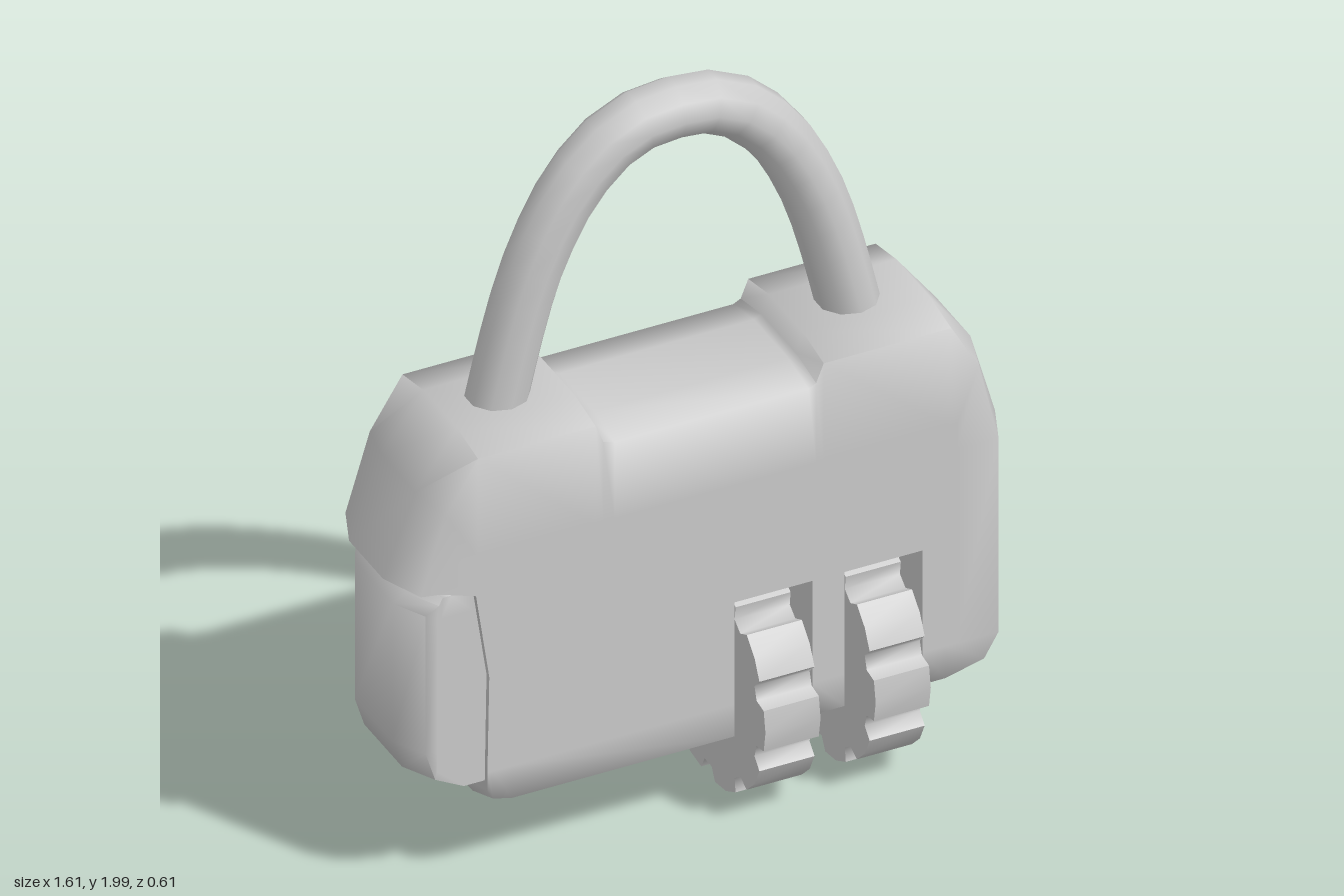
import * as THREE from 'three';
import { toCreasedNormals } from 'three/addons/utils/BufferGeometryUtils.js';

const material = new THREE.MeshStandardMaterial({ color: 0xcccccc });
const clamp01 = (v) => THREE.MathUtils.clamp(v, 0, 1);
const clamp = THREE.MathUtils.clamp;

function addMesh(parent, name, geometry) {
  const mesh = new THREE.Mesh(geometry, material);
  mesh.name = name;
  parent.add(mesh);
  return mesh;
}

// Join rings of equal point count (counter-clockwise, front to back) and cap both ends
function loft(rings, crease) {
  const n = rings[0].points.length;
  const positions = [];
  const index = [];
  for (const { points, z } of rings) for (const [x, y] of points) positions.push(x, y, z);
  for (let r = 0; r < rings.length - 1; r++) {
    for (let i = 0; i < n; i++) {
      const j = (i + 1) % n;
      const a = r * n + i, b = r * n + j, c = a + n, d = b + n;
      index.push(a, c, d, a, d, b);
    }
  }
  const contour = rings[0].points.map(([x, y]) => new THREE.Vector2(x, y));
  const last = (rings.length - 1) * n;
  for (const [a, b, c] of THREE.ShapeUtils.triangulateShape(contour, [])) {
    index.push(a, b, c, last + a, last + c, last + b);
  }
  const geometry = new THREE.BufferGeometry();
  geometry.setAttribute('position', new THREE.Float32BufferAttribute(positions, 3));
  geometry.setIndex(index);
  return toCreasedNormals(geometry, crease);
}

// Symmetric block: full outline in the middle, eased edge, then the flat face
function easedBlock(outline, edge, face, zMiddle, zFace, crease) {
  const middle = outline, rim = outline.map(edge), flat = outline.map(face);
  return loft([
    { points: flat, z: zFace }, { points: rim, z: zFace }, { points: middle, z: zMiddle },
    { points: middle, z: -zMiddle }, { points: rim, z: -zFace }, { points: flat, z: -zFace },
  ], crease);
}

const wheelSlots = [[0.065, 0.27], [0.355, 0.56]];

function bodyGeometry() {
  const slotPoints = wheelSlots.flatMap(([a, b]) => [
    [a, 0.19], [a, 0.33], [a, 0.62], [b, 0.62], [b, 0.33], [b, 0.19],
  ]);
  const outline = [
    [-0.585, 0.25], [-0.57, 0.21], [-0.52, 0.19],
    ...slotPoints,
    [0.62, 0.19], [0.76, 0.23], [0.805, 0.33], [0.805, 0.88], [0.74, 1.11], [0.635, 1.25],
    [0.3, 1.25], [0.28, 1.2], [0.26, 1.19], [-0.25, 1.19], [-0.28, 1.2], [-0.3, 1.25],
    [-0.61, 1.25], [-0.72, 1.1], [-0.805, 0.88], [-0.74, 0.872], [-0.615, 0.84], [-0.58, 0.6],
  ];
  const edge = ([x, y]) => [
    x - Math.sign(x) * 0.045 * clamp01((Math.abs(x) - 0.65) / 0.13),
    y + 0.05 * clamp01((0.33 - y) / 0.14) - 0.022 * clamp01((y - 1.05) / 0.14),
  ];
  const face = ([x, y]) => [clamp(x, -0.65, 0.65), clamp(y, 0.33, 0.95)];
  return easedBlock(outline, edge, face, 0.09, 0.2, 1.42);
}

function latchGeometry() {
  const outline = [
    [-0.785, 0.42], [-0.76, 0.34], [-0.65, 0.28], [-0.5, 0.28], [-0.5, 0.84],
    [-0.615, 0.84], [-0.7, 0.873], [-0.735, 0.865], [-0.75, 0.83], [-0.785, 0.81],
  ];
  const edge = ([x, y]) => [x + 0.045 * clamp01((-0.62 - x) / 0.13), clamp(y, 0.3, 0.85)];
  const face = ([x, y]) => [Math.max(x, -0.71), clamp(y, 0.36, 0.79)];
  return easedBlock(outline, edge, face, 0.1, 0.185, 1.3);
}

// Notched wheel turning about the x axis
function wheelGeometry(width) {
  const points = [];
  const tooth = [[-7, 0.3], [-4, 0.265], [4, 0.265], [7, 0.3], [18, 0.304]];
  for (let k = 0; k < 10; k++) {
    for (const [degrees, radius] of tooth) {
      const angle = THREE.MathUtils.degToRad(k * 36 - 90 + degrees);
      points.push(new THREE.Vector2(Math.cos(angle) * radius, Math.sin(angle) * radius));
    }
  }
  const geometry = new THREE.ExtrudeGeometry(new THREE.Shape(points), { depth: width, bevelEnabled: false });
  geometry.translate(0, 0, -width / 2).rotateY(Math.PI / 2);
  return toCreasedNormals(geometry, 1.1);
}

export function createModel() {
  const model = new THREE.Group();
  model.name = 'combinationPadlock';

  addMesh(model, 'body', bodyGeometry());
  addMesh(model, 'sideLatch', latchGeometry());

  // Shackle arch, sunk slightly into the shoulders
  const half = [[0.48, 1.15], [0.46, 1.25], [0.39, 1.52], [0.335, 1.66], [0.25, 1.8], [0.13, 1.9]];
  const path = [
    ...half.map(([x, y]) => new THREE.Vector3(-x, y, 0)),
    new THREE.Vector3(0, 1.923, 0),
    ...half.slice().reverse().map(([x, y]) => new THREE.Vector3(x, y, 0)),
  ];
  addMesh(model, 'shackle', new THREE.TubeGeometry(new THREE.CatmullRomCurve3(path), 22, 0.077, 10));

  // Number wheels with a thin wall behind each one
  for (const [a, b] of wheelSlots) {
    const x = (a + b) / 2;
    addMesh(model, 'numberWheel', wheelGeometry(0.145)).position.set(x, 0.302, 0);
    addMesh(model, 'slotWall', new THREE.BoxGeometry(b - a, 0.29, 0.06)).position.set(x, 0.475, 0);
  }
  return model;
}
